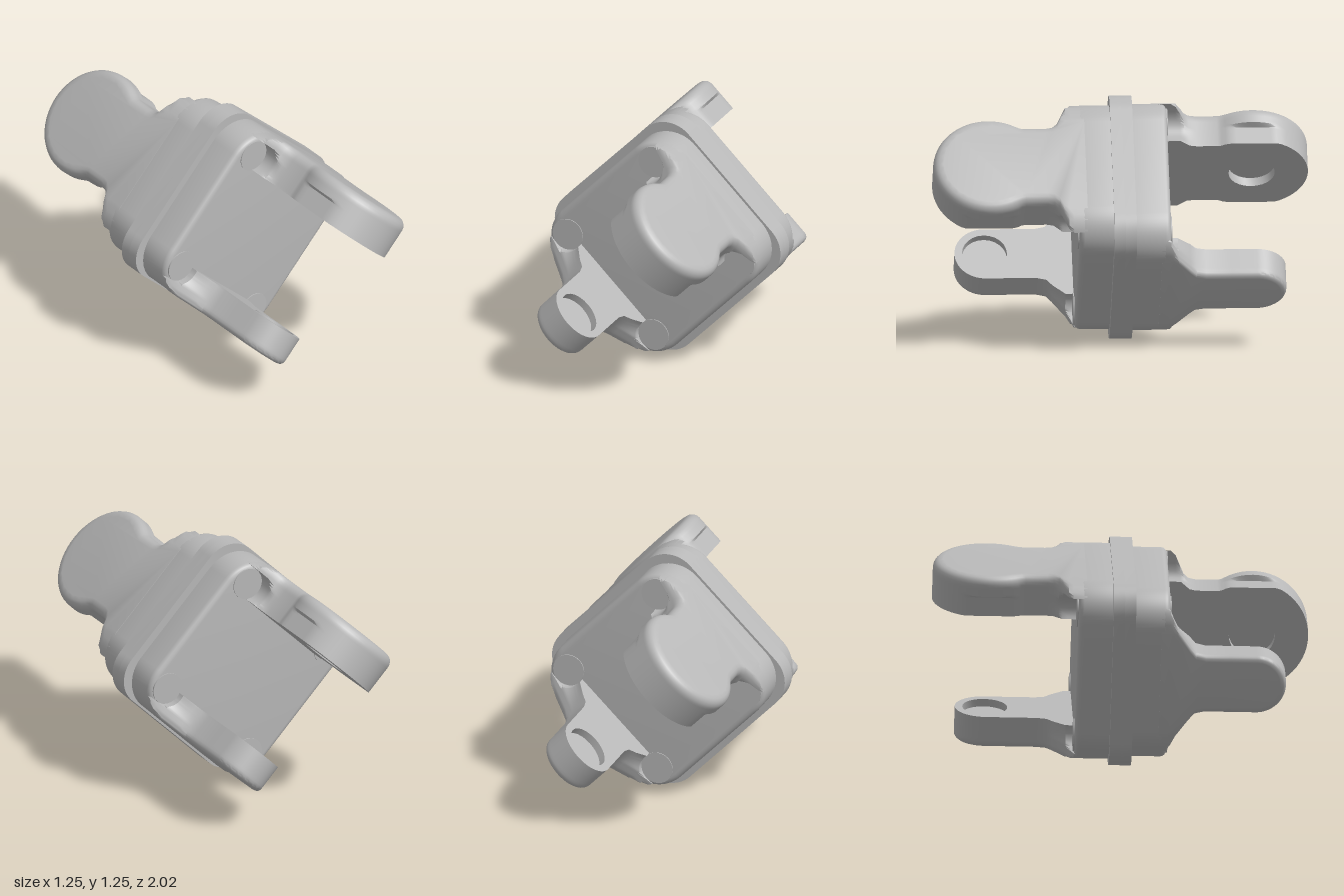
import * as THREE from 'three';
import { toCreasedNormals } from 'three/addons/utils/BufferGeometryUtils.js';

// Local frame of each half: x points at the flange side carrying the large arm,
// y runs along that side, z points away from the joint plane.
const HEAD_Z = 0.68;     // centre of both arm heads
const SEAT = 0.336;      // bolt seat position on x and y
const SEAT_R = 0.085;
const BODY_X = 0.478, BODY_Y = 0.45, BODY_R = 0.19;
const OUTER = 0.481;     // outer face of the arms

const metal = new THREE.MeshStandardMaterial({ color: 0xb8b8b8, side: THREE.DoubleSide });
metal.name = 'greyMetal';

function addMesh(parent, name, geometry, crease = 0.6) {
  const mesh = new THREE.Mesh(toCreasedNormals(geometry, crease), metal);
  mesh.name = name;
  parent.add(mesh);
  return mesh;
}

function roundedRect(a, b, r) {
  const s = new THREE.Shape();
  const cx = a - r, cy = b - r;
  s.absarc(cx, cy, r, 0, Math.PI / 2);
  s.absarc(-cx, cy, r, Math.PI / 2, Math.PI);
  s.absarc(-cx, -cy, r, Math.PI, Math.PI * 1.5);
  s.absarc(cx, -cy, r, Math.PI * 1.5, Math.PI * 2);
  s.closePath();
  return s;
}

// Arm outline at depth x, as (y, z) points running anticlockwise
function armOutline(arm, x) {
  const d = Math.max(0, x - (OUTER - arm.fillet));
  const inset = arm.fillet - Math.sqrt(Math.max(0, arm.fillet ** 2 - d * d));
  // round body corner and bolt seat limit how far the flared foot reaches
  const cx = Math.max(0, x - (BODY_X - BODY_R));
  let limit = BODY_Y - BODY_R + Math.sqrt(Math.max(0, BODY_R ** 2 - cx * cx));
  const sx = x - SEAT;
  if (Math.abs(sx) < SEAT_R) limit = Math.min(limit, SEAT - Math.sqrt(SEAT_R ** 2 - sx * sx));
  const half = arm.neck.map(([h, z]) => [Math.min(h - inset, limit), z]);
  // the inner part of the head may have flattened sides
  const flat = x < 0.376 ? arm.flat : 1;
  const R = arm.radius - inset, n = 20;
  for (let i = 0; i < n; i++) {
    const t = arm.start + (Math.PI / 2 - arm.start) * i / n;
    half.push([Math.min(R * Math.cos(t), flat), HEAD_Z + R * Math.sin(t)]);
  }
  const mirrored = half.map(([y, z]) => [-y, z]).reverse();
  return [...half, [0, HEAD_Z + R], ...mirrored];
}

// Arm lofted through its thickness, with a round opening in the inner face
function armGeometry(arm) {
  const layers = [];
  for (let i = 0; i <= 12; i++) layers.push(arm.inner + (0.4205 - arm.inner) * i / 12);
  layers.push(0.4215, 0.432, 0.446, 0.46, 0.47, 0.477, OUTER);
  const rings = layers.map(x => armOutline(arm, x).map(([y, z]) => [x, y, z]));
  const pos = [];
  const tri = (a, b, c) => pos.push(...a, ...b, ...c);

  for (let k = 0; k < rings.length - 1; k++) {
    const a = rings[k], b = rings[k + 1];
    for (let j = 0; j < a.length; j++) {
      const m = (j + 1) % a.length;
      tri(a[j], a[m], b[j]);
      tri(a[m], b[m], b[j]);
    }
  }

  const cap = (ring, hole, flip) => {
    const flat = pts => pts.map(p => new THREE.Vector2(p[1], p[2]));
    const all = [...ring, ...hole];
    const faces = THREE.ShapeUtils.triangulateShape(flat(ring), hole.length ? [flat(hole)] : []);
    for (const [a, b, c] of faces) {
      if (flip) tri(all[a], all[c], all[b]);
      else tri(all[a], all[b], all[c]);
    }
  };
  const hole = [];
  for (let i = 0; i < 24; i++) {
    const t = -i / 24 * Math.PI * 2;
    hole.push([arm.inner, arm.hole * Math.cos(t), HEAD_Z + arm.hole * Math.sin(t)]);
  }
  cap(rings[0], hole, true);
  cap(rings[rings.length - 1], [], false);

  const g = new THREE.BufferGeometry();
  g.setAttribute('position', new THREE.Float32BufferAttribute(pos, 3));
  g.computeVertexNormals();
  return g;
}

function buildArm(name, arm) {
  const group = new THREE.Group();
  group.name = name;
  addMesh(group, name + 'Body', armGeometry(arm), 0.65);
  // blind socket behind the opening
  const profile = [[arm.hole, 0], [arm.hole, -arm.depth], [0, -arm.depth]]
    .map(([x, y]) => new THREE.Vector2(x, y));
  const cup = new THREE.LatheGeometry(profile, 24);
  cup.rotateZ(Math.PI / 2);
  cup.translate(arm.inner, 0, HEAD_Z);
  addMesh(group, name + 'Socket', cup);
  return group;
}

const largeArm = {
  inner: 0.27, fillet: 0.05, radius: 0.287, start: -0.51, flat: 0.257, hole: 0.118, depth: 0.05,
  neck: [[0.4, 0.19], [0.4, 0.26], [0.37, 0.285], [0.31, 0.31], [0.265, 0.33],
    [0.243, 0.355], [0.236, 0.39], [0.236, 0.5], [0.24, 0.52]],
};
const smallArm = {
  inner: 0.315, fillet: 0.03, radius: 0.153, start: 0, flat: 1, hole: 0.115, depth: 0.04,
  neck: [[0.4, 0.19], [0.38, 0.235], [0.34, 0.25], [0.29, 0.275], [0.2, 0.34],
    [0.165, 0.37], [0.153, 0.42], [0.153, 0.55]],
};

function buildHalf(name) {
  const half = new THREE.Group();
  half.name = name;

  // flange plate
  addMesh(half, 'flange', new THREE.ExtrudeGeometry(roundedRect(0.49, 0.49, 0.164),
    { depth: 0.057, bevelEnabled: false, curveSegments: 8 }));

  // housing block with a softened front edge, nearly flush with the flange on the arm sides
  const bevel = 0.03;
  addMesh(half, 'housing', new THREE.ExtrudeGeometry(
    roundedRect(BODY_X - bevel, BODY_Y - bevel, BODY_R - bevel), {
      depth: 0.235 - bevel, bevelEnabled: true, bevelThickness: bevel, bevelSize: bevel,
      bevelSegments: 4, curveSegments: 8,
    }));

  // flat bolt seats in the four corners
  for (const sx of [-1, 1]) for (const sy of [-1, 1]) {
    const seat = new THREE.CylinderGeometry(0.083, 0.083, 0.05, 24);
    seat.rotateX(Math.PI / 2);
    addMesh(half, 'boltSeat', seat).position.set(sx * SEAT, sy * SEAT, 0.215);
  }

  // the two arms on opposite sides
  half.add(buildArm('largeArm', largeArm));
  const small = buildArm('smallArm', smallArm);
  small.rotation.z = Math.PI;
  half.add(small);

  half.rotation.set(0, -0.192, Math.PI / 4);
  return half;
}

export function createModel() {
  const model = new THREE.Group();
  model.name = 'flangedJoint';
  // two identical halves, back to back
  for (const [name, turn] of [['frontHalf', 0], ['backHalf', Math.PI]]) {
    const side = new THREE.Group();
    side.name = name + 'Mount';
    side.add(buildHalf(name));
    side.rotation.y = turn;
    side.position.y = 0.625;
    model.add(side);
  }
  return model;
}
